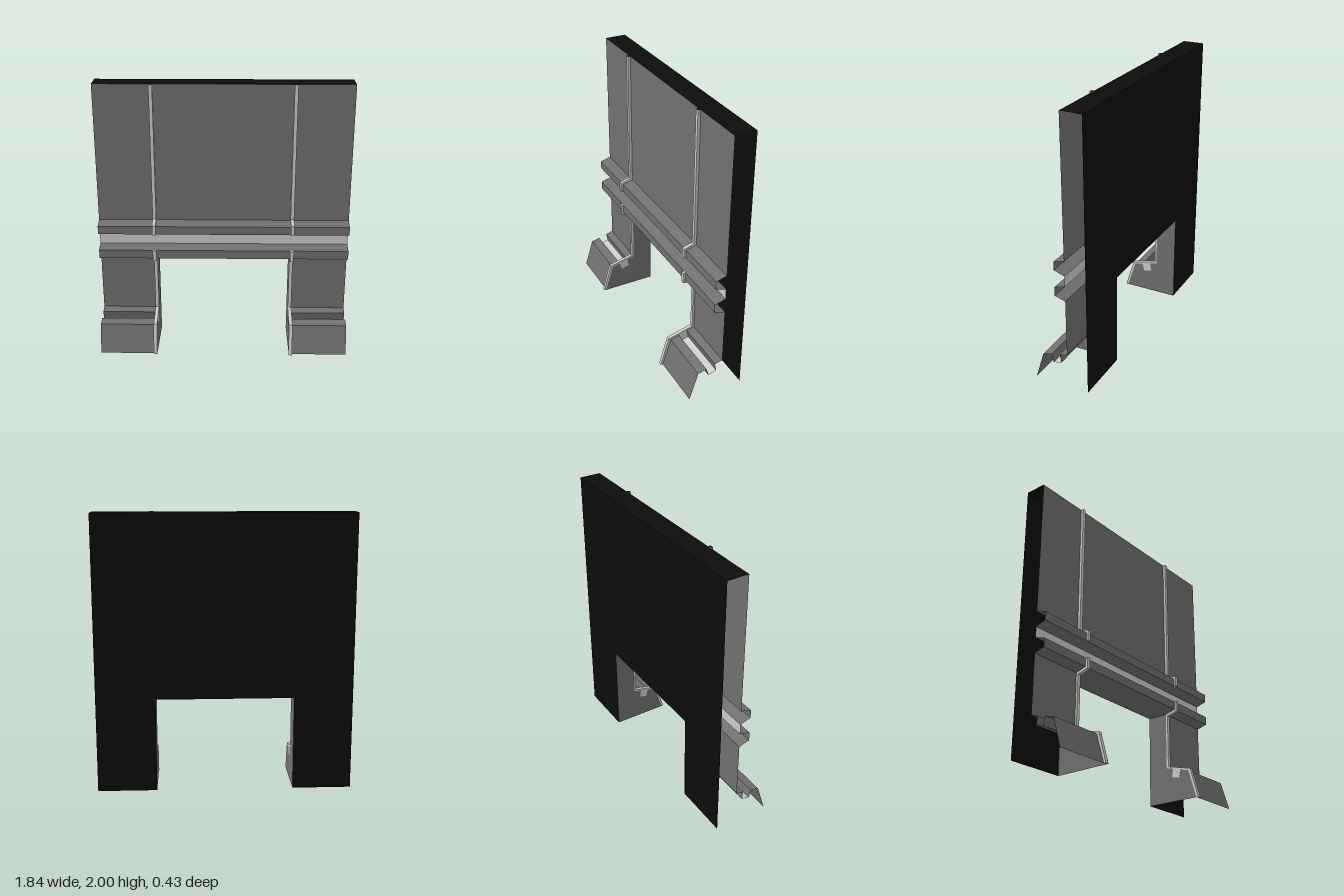
import * as THREE from 'three';

const HALF = 0.922, BACK = -0.215, FACE = -0.058, LINTEL = 0.685;

const makeMaterial = (color) => new THREE.MeshStandardMaterial({ color, side: THREE.DoubleSide, flatShading: true });

// Sweeps an open [z, y] profile along x, running top to bottom on the front
function strip(profile, x0, x1) {
  const pos = [];
  for (let i = 0; i < profile.length - 1; i++) {
    const [az, ay] = profile[i], [bz, by] = profile[i + 1];
    const a = [x0, ay, az], b = [x0, by, bz], c = [x1, by, bz], d = [x1, ay, az];
    pos.push(...a, ...b, ...c, ...a, ...c, ...d);
  }
  const g = new THREE.BufferGeometry();
  g.setAttribute('position', new THREE.Float32BufferAttribute(pos, 3));
  g.computeVertexNormals();
  return g;
}

const shapeOf = (pts) => new THREE.Shape(pts.map(([a, b]) => new THREE.Vector2(a, b)));

// Turns a [z, y] outline into a solid slab whose right face lies at x1
function slab(outline, x0, x1) {
  const g = new THREE.ExtrudeGeometry(shapeOf(outline), { depth: x1 - x0, bevelEnabled: false });
  return g.rotateY(-Math.PI / 2).translate(x1, 0, 0);
}

export function createModel() {
  const model = new THREE.Group();
  model.name = 'wallPanel';
  const wallGrey = makeMaterial(0x707070);
  const lightGrey = makeMaterial(0xcccccc);
  const black = makeMaterial(0x0c0c0c);

  const add = (name, geometry, material) => {
    const mesh = new THREE.Mesh(geometry, material);
    mesh.name = name;
    model.add(mesh);
  };

  // Front sheet with two ridges and a recessed light band between them
  const upper = [[FACE, 2], [FACE, 0.985], [0.022, 0.962], [0.022, 0.9], [FACE, 0.875]];
  const lower = [[FACE, 0.795], [0.022, 0.772], [0.022, 0.707], [FACE, LINTEL]];
  add('upperFrontSheet', strip(upper, -HALF, HALF), wallGrey);
  add('recessedBand', strip([[FACE, 0.875], [FACE, 0.795]], -HALF, HALF), lightGrey);
  add('lowerRidge', strip(lower, -HALF, HALF), wallGrey);

  // Back sheet, notched for the doorway, and the top cap
  const back = shapeOf([
    [-HALF, 0], [-0.497, 0], [-0.497, LINTEL], [0.494, LINTEL],
    [0.494, 0], [HALF, 0], [HALF, 2], [-HALF, 2],
  ]);
  add('backSheet', new THREE.ShapeGeometry(back).rotateY(Math.PI).scale(-1, 1, -1).translate(0, 0, BACK), black);
  add('topCap', strip([[BACK, 2], [FACE, 2]], -HALF, HALF), black);

  // Underside of the lintel
  add('lintelSoffit', strip([[FACE, LINTEL], [BACK, LINTEL]], -0.497, 0.494), wallGrey);

  // Leg profile: wall, sloping ledge with a square groove, flared foot
  const ledge = [[FACE, LINTEL], [FACE, 0.26], [0.0, 0.245]];
  const groove = [[-0.012, 0.184], [0.052, 0.167]];
  const foot = [[0.067, 0.227], [0.133, 0.21], [0.197, 0]];
  const legFace = [...ledge, ...groove, ...foot];

  // Ribs stand proud of the sheet and fill the groove
  const upperRib = [
    [FACE, 2], [FACE, 0.985], [0.024, 0.96], [0.024, 0.9],
    [0.04, 0.9], [0.04, 0.975], [-0.038, 0.998], [-0.038, 2],
  ];
  const lowerRib = [
    [0.024, 0.773], [0.024, 0.707], ...legFace,
    [0.214, 0], [0.15, 0.222], [-0.043, 0.27], [-0.043, 0.67], [0.04, 0.692], [0.04, 0.773],
  ];

  for (const side of [-1, 1]) {
    const label = side > 0 ? 'left' : 'right';
    const inner = side > 0 ? 0.494 : -0.497;
    const x0 = Math.min(inner, side * HALF), x1 = Math.max(inner, side * HALF);
    add(label + 'LegFront', strip(legFace, x0, x1), wallGrey);
    add(label + 'GrooveFloor', strip(groove.map(([z, y]) => [z, y + 0.001]), x0, x1), lightGrey);

    // Doorway reveal closing the inner side of the leg
    const reveal = new THREE.ShapeGeometry(shapeOf([...legFace, [BACK, 0], [BACK, LINTEL]]));
    add(label + 'Reveal', reveal.rotateY(side * Math.PI / 2).scale(1, 1, -side).translate(inner, 0, 0), wallGrey);

    const r0 = side > 0 ? 0.492 : -0.523, r1 = r0 + 0.026;
    add(label + 'UpperRib', slab(upperRib, r0, r1), lightGrey);
    add(label + 'LowerRib', slab(lowerRib, r0, r1), lightGrey);
    add(label + 'RibCap', strip([[FACE, 2.0005], [-0.038, 2.0005]], r0, r1), black);
  }
  return model;
}
